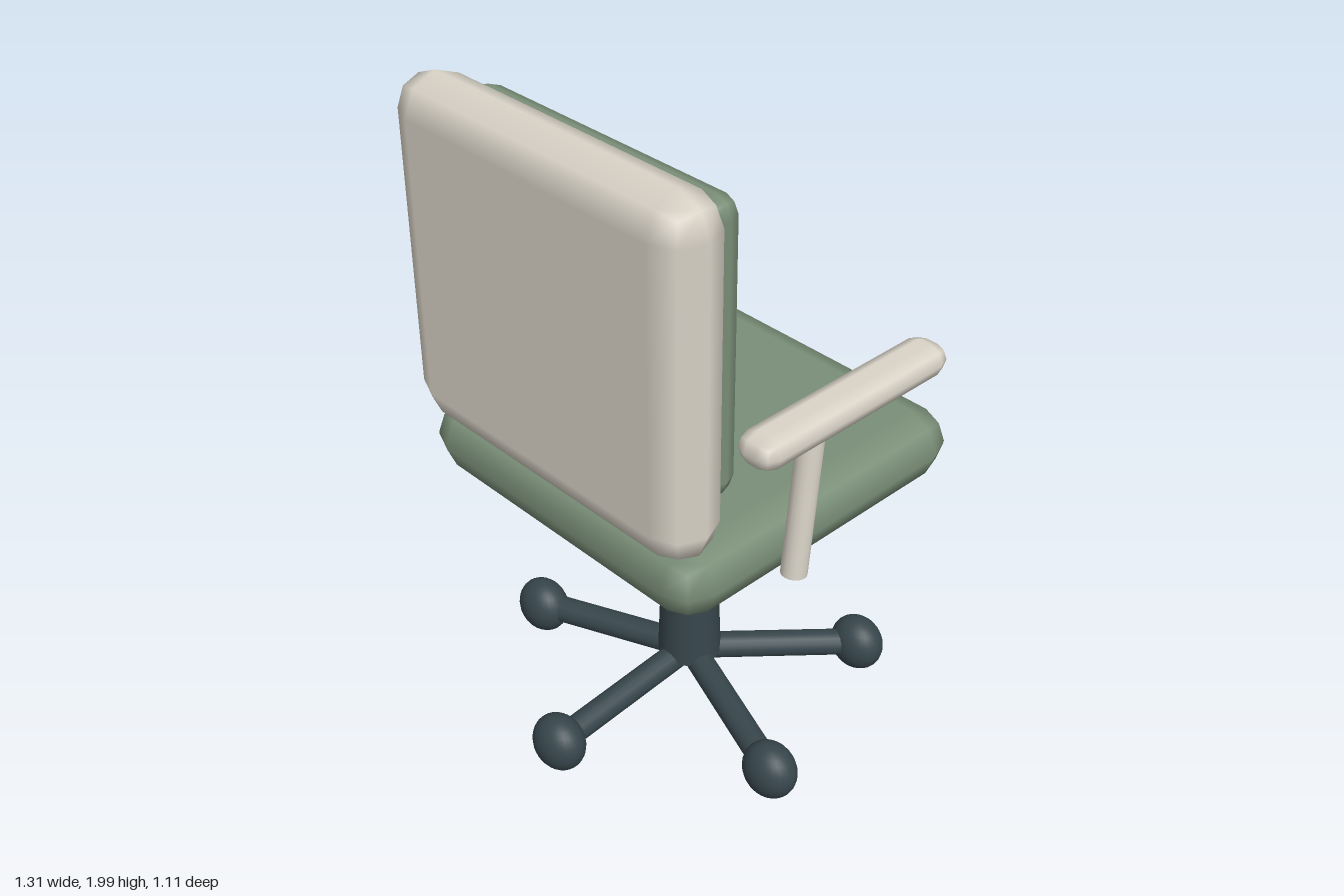
import * as THREE from 'three';
import { RoundedBoxGeometry } from 'three/addons/geometries/RoundedBoxGeometry.js';

const cream = new THREE.MeshStandardMaterial({ color: 0xdad4c8 });
const green = new THREE.MeshStandardMaterial({ color: 0x7a8f78 });
const dark = new THREE.MeshStandardMaterial({ color: 0x37464c });

// Soft padded block with bevelled edges
function pad(name, material, size, radius, position) {
  const mesh = new THREE.Mesh(new RoundedBoxGeometry(...size, 1, radius), material);
  mesh.name = name;
  mesh.position.set(...position);
  return mesh;
}

// Round bar running from point a to point b
function bar(name, material, a, b, radiusA, radiusB, sides = 16) {
  const dir = b.clone().sub(a);
  const mesh = new THREE.Mesh(new THREE.CylinderGeometry(radiusB, radiusA, dir.length(), sides), material);
  mesh.name = name;
  mesh.position.copy(a).add(b).multiplyScalar(0.5);
  mesh.quaternion.setFromUnitVectors(new THREE.Vector3(0, 1, 0), dir.normalize());
  return mesh;
}

export function createModel() {
  const chair = new THREE.Group();
  chair.name = 'officeChair';

  // Seat, backrest shell and its cushion
  chair.add(
    pad('seat', green, [1.055, 0.205, 1.04], 0.1, [0, 0.907, -0.035]),
    pad('backrest', cream, [1.055, 1.0, 0.2], 0.1, [0, 1.5, 0.418]),
    pad('backCushion', green, [0.91, 0.83, 0.11], 0.055, [0, 1.515, 0.282]),
  );

  // Armrests on leaning posts
  for (const [side, s] of [['left', 1], ['right', -1]]) {
    const arm = new THREE.Group();
    arm.name = side + 'Arm';
    arm.add(
      pad('armrest', cream, [0.125, 0.09, 0.67], 0.045, [s * 0.592, 1.34, 0.016]),
      bar('armPost', cream, new THREE.Vector3(s * 0.592, 0.895, 0.176),
        new THREE.Vector3(s * 0.592, 1.34, 0.131), 0.035, 0.035),
    );
    chair.add(arm);
  }

  // Tapered column and five-legged base
  const base = new THREE.Group();
  base.name = 'base';
  base.position.z = -0.033;
  base.add(bar('column', dark, new THREE.Vector3(0, 0.14, 0), new THREE.Vector3(0, 0.83, 0), 0.094, 0.069, 24));
  const hub = new THREE.Vector3(0, 0.14, 0);
  const ball = new THREE.SphereGeometry(1, 24, 16);
  for (let i = 0; i < 5; i++) {
    const angle = (i * Math.PI * 2) / 5;
    const end = new THREE.Vector3(Math.sin(angle) * 0.517, 0.093, Math.cos(angle) * 0.517);
    base.add(bar('baseLeg', dark, hub, end, 0.04, 0.04));
    const foot = new THREE.Mesh(ball, dark);
    foot.name = 'caster';
    foot.position.copy(end);
    foot.scale.set(0.086, 0.086, 0.07);
    base.add(foot);
  }
  chair.add(base);
  return chair;
}
